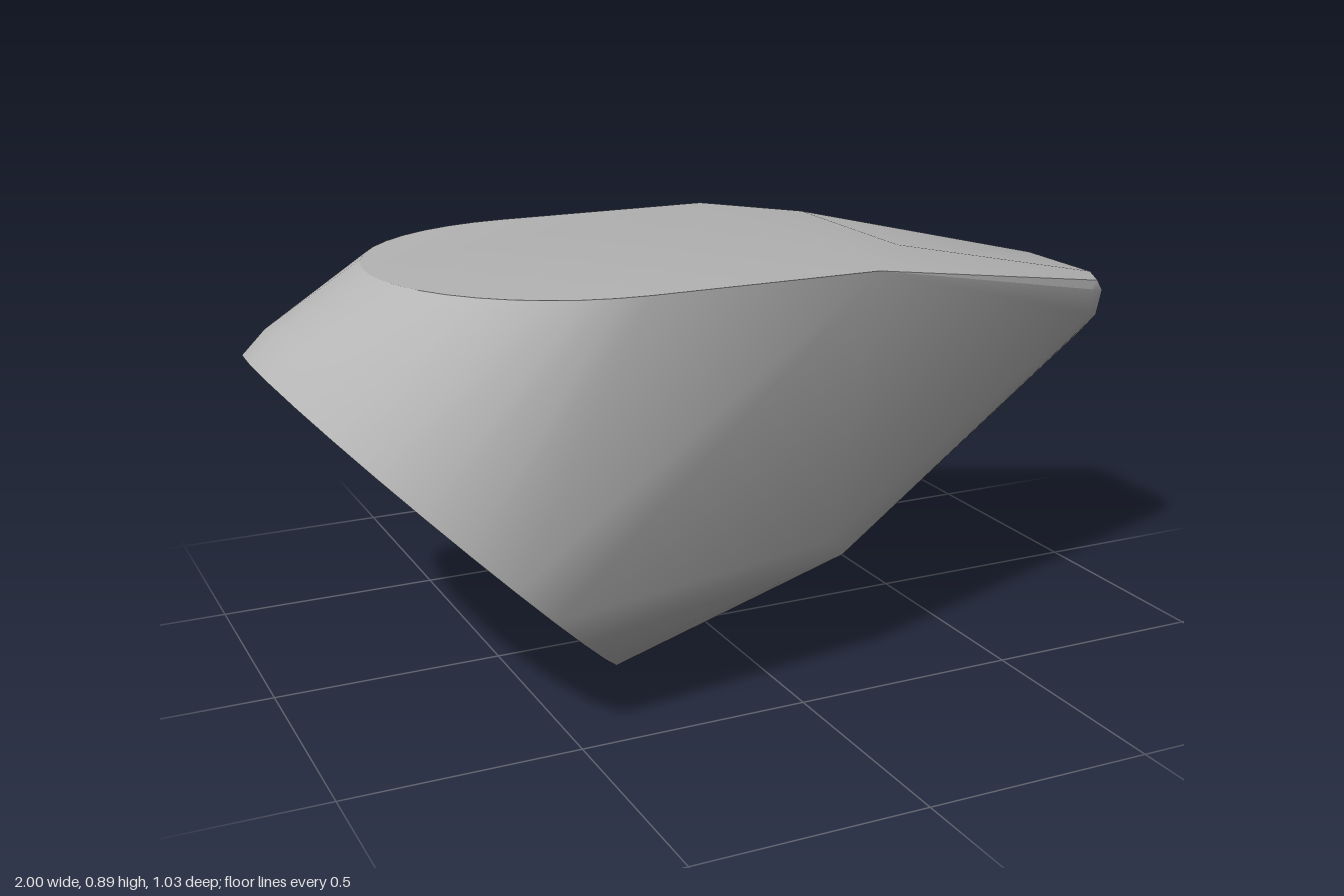
import * as THREE from 'three';
import { ConvexGeometry } from 'three/addons/geometries/ConvexGeometry.js';
import { toCreasedNormals } from 'three/addons/utils/BufferGeometryUtils.js';

export function createModel() {
  const group = new THREE.Group();
  const grey = new THREE.MeshStandardMaterial({ color: 0xb4b4b4 });
  grey.name = 'plain grey';

  const points = [];
  const add = (x, y, z) => points.push(new THREE.Vector3(x, y, z));
  // mirrored pair about z = mid
  const pair = (x, y, half, mid = 0) => { add(x, y, mid + half); add(x, y, mid - half); };

  // round base disc, tilted 45 degrees
  const segments = 28, radius = 0.516;
  for (let i = 0; i < segments; i++) {
    const a = (i / segments) * Math.PI * 2;
    const c = Math.cos(a) * 0.365, z = Math.sin(a) * radius;
    add(-0.635 - c, 0.365 + c, z);
    // short straight rim on the upper end of the disc
    if (Math.cos(a) > 0.87) add(-0.585 - c, 0.415 + c, z);
  }

  // flat top: half ellipse at the back, straight sides, clipped front corners
  const topY = 0.893;
  for (let i = 0; i <= 20; i++) {
    const a = Math.PI * (i / 20 - 0.5);
    add(-0.31 - 0.44 * Math.cos(a), topY, 0.43 * Math.sin(a));
  }
  pair(0.2, topY, 0.428);
  pair(0.37, topY, 0.22, -0.005);

  // lower side corners
  pair(0.11, 0.31, 0.405);
  pair(0.155, 0.265, 0.38);

  // rounded nose: x, y, half width
  const nose = [
    [0.93, 0.73, 0.195], [0.93, 0.67, 0.19], [0.96, 0.745, 0.175],
    [0.975, 0.755, 0.125], [0.975, 0.72, 0.175], [0.965, 0.66, 0.17],
    [0.99, 0.725, 0.14], [0.988, 0.67, 0.135], [1, 0.715, 0.06],
    [1, 0.68, 0.06], [0.98, 0.638, 0.1], [0.95, 0.605, 0.1], [0.94, 0.625, 0.155],
  ];
  nose.forEach(([x, y, half]) => pair(x, y, half, -0.02));

  const geometry = toCreasedNormals(new ConvexGeometry(points), 0.42);
  const body = new THREE.Mesh(geometry, grey);
  body.name = 'body';
  group.add(body);
  return group;
}
